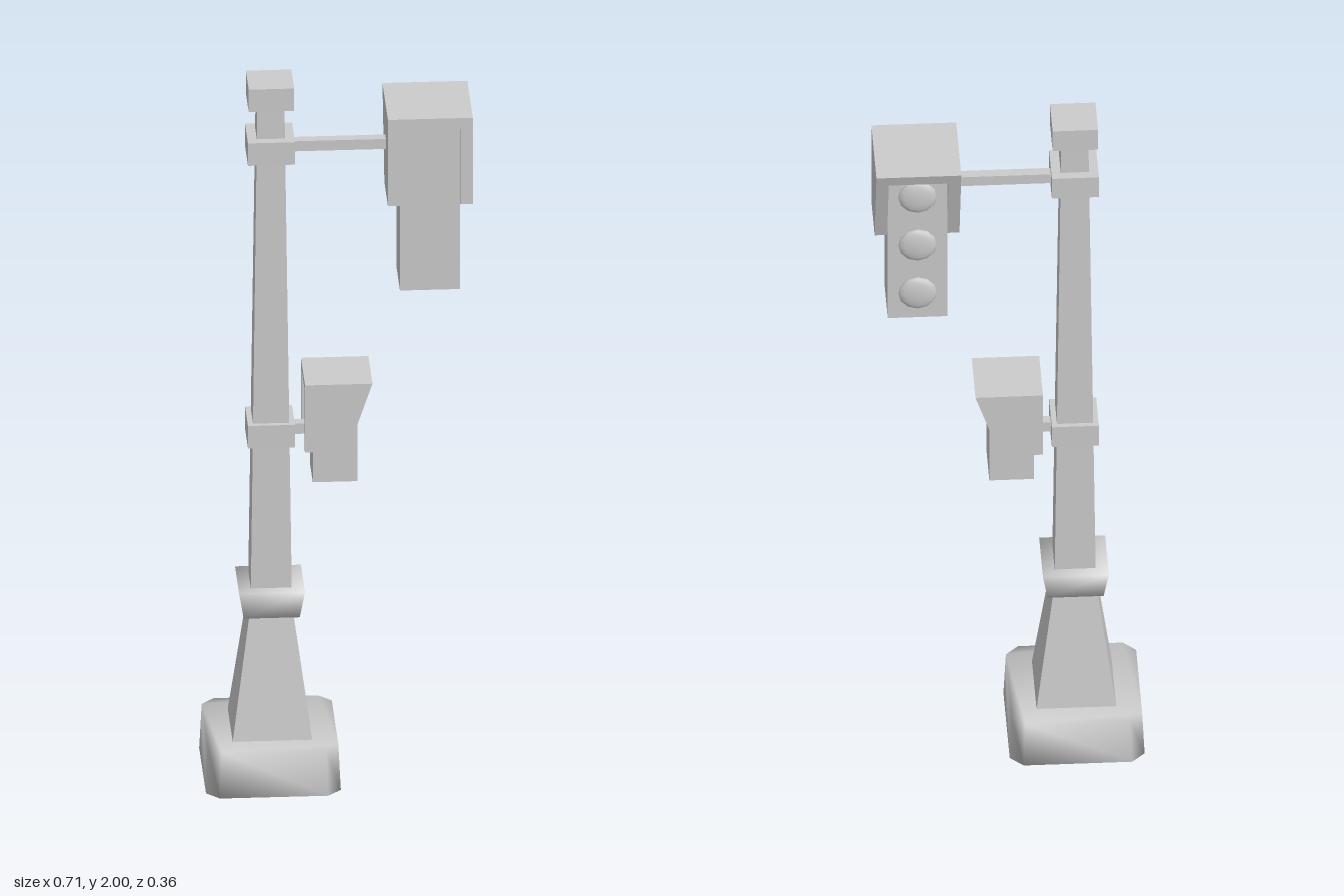
import * as THREE from 'three';
import { mergeVertices } from 'three/addons/utils/BufferGeometryUtils.js';

const POLE_X = -0.177;
const flat = new THREE.MeshStandardMaterial({ color: 0xcccccc, flatShading: true });
const smooth = new THREE.MeshStandardMaterial({ color: 0xcccccc });

function add(parent, name, geometry, material = flat) {
  const mesh = new THREE.Mesh(geometry, material);
  mesh.name = name;
  parent.add(mesh);
  return mesh;
}

// Share vertices so that normals blend around the whole block
function soften(geometry) {
  geometry.deleteAttribute('normal');
  geometry.deleteAttribute('uv');
  const merged = mergeVertices(geometry, 1e-4);
  merged.computeVertexNormals();
  return merged;
}

// Scale x and z evenly from the bottom to the top
function taper(geometry, y0, y1, topScale) {
  const p = geometry.attributes.position;
  for (let i = 0; i < p.count; i++) {
    const s = 1 + (topScale - 1) * (p.getY(i) - y0) / (y1 - y0);
    p.setX(i, p.getX(i) * s);
    p.setZ(i, p.getZ(i) * s);
  }
  geometry.computeVertexNormals();
  return geometry;
}

// Square block centred on the pole axis, given half widths
function block(y0, y1, r0, r1 = r0) {
  const g = new THREE.BoxGeometry(2 * r0, y1 - y0, 2 * r0);
  g.translate(0, (y0 + y1) / 2, 0);
  return taper(g, y0, y1, r1 / r0);
}

// Box from its minimum and maximum corners
function boxBetween(a, b) {
  const g = new THREE.BoxGeometry(b[0] - a[0], b[1] - a[1], b[2] - a[2]);
  return g.translate((a[0] + b[0]) / 2, (a[1] + b[1]) / 2, (a[2] + b[2]) / 2);
}

// Upside-down U hood opening toward +z, its mouth slanting back to the bottom
function hood(halfW, wall, roof, y0, y1, zBack, zTop, zBottom) {
  const inner = halfW - wall;
  const shape = new THREE.Shape([
    [-halfW, y0], [-inner, y0], [-inner, y1 - roof], [inner, y1 - roof],
    [inner, y0], [halfW, y0], [halfW, y1], [-halfW, y1],
  ].map(([x, y]) => new THREE.Vector2(x, y)));
  const g = new THREE.ExtrudeGeometry(shape, { depth: 1, bevelEnabled: false });
  const p = g.attributes.position;
  for (let i = 0; i < p.count; i++) {
    const t = (p.getY(i) - y0) / (y1 - y0);
    const mouth = zBottom + (zTop - zBottom) * t;
    p.setZ(i, p.getZ(i) > 0.5 ? mouth : zBack);
  }
  g.computeVertexNormals();
  return g;
}

function createPole() {
  const pole = new THREE.Group();
  pole.name = 'pole';
  pole.position.x = POLE_X;

  // Plinth with cut corners
  const r = 0.178, c = 0.143;
  const outline = new THREE.Shape([
    [r, -c], [r, c], [c, r], [-c, r], [-r, c], [-r, -c], [-c, -r], [c, -r],
  ].map(([x, y]) => new THREE.Vector2(x, y)));
  const plinth = new THREE.ExtrudeGeometry(outline, { depth: 0.13, bevelEnabled: false });
  plinth.rotateX(-Math.PI / 2);
  add(pole, 'plinth', soften(taper(plinth, 0, 0.13, 0.965)), smooth);

  // Stacked column
  add(pole, 'lowerColumn', block(0.13, 0.475, 0.105, 0.058));
  add(pole, 'collar', soften(block(0.472, 0.55, 0.074, 0.087)), smooth);
  add(pole, 'shaft', block(0.55, 1.935, 0.054, 0.036));
  add(pole, 'lowerBracket', block(0.96, 1.025, 0.062));
  add(pole, 'upperBracket', block(1.78, 1.845, 0.062));
  add(pole, 'cap', block(1.935, 2.0, 0.06));
  return pole;
}

// Three-lamp signal, facing the back
function createVehicleSignal() {
  const signal = new THREE.Group();
  signal.name = 'vehicleSignal';
  signal.position.x = 0.24;
  signal.rotation.y = Math.PI;
  add(signal, 'signalHood', hood(0.112, 0.033, 0.033, 1.67, 1.92, -0.1, 0.133, 0.05));
  add(signal, 'signalBox', boxBetween([-0.079, 1.415, -0.08], [0.079, 1.887, 0.076]));
  for (let i = 0; i < 3; i++) {
    const dome = new THREE.SphereGeometry(1, 12, 4, 0, Math.PI * 2, 0, Math.PI / 2);
    dome.rotateX(Math.PI / 2).scale(0.052, 0.052, 0.014);
    add(signal, 'lamp', dome, smooth).position.set(0, 1.495 + i * 0.158, 0.075);
  }
  return signal;
}

// Small walk signal, facing the model's left
function createWalkSignal() {
  const signal = new THREE.Group();
  signal.name = 'walkSignal';
  signal.rotation.y = Math.PI / 2;
  add(signal, 'walkHood', hood(0.087, 0.025, 0.02, 0.955, 1.15, -0.09, 0.088, 0.022));
  add(signal, 'walkBox', boxBetween([-0.062, 0.857, -0.068], [0.062, 1.13, 0.05]));
  return signal;
}

export function createModel() {
  const model = new THREE.Group();
  model.name = 'trafficSignal';
  model.add(createPole(), createVehicleSignal(), createWalkSignal());

  // Arms joining the signals to the brackets
  add(model, 'upperArm', boxBetween([-0.12, 1.796, -0.015], [0.135, 1.825, 0.013]));
  add(model, 'lowerArm', boxBetween([-0.12, 0.976, -0.015], [-0.065, 1.006, 0.013]));
  return model;
}
